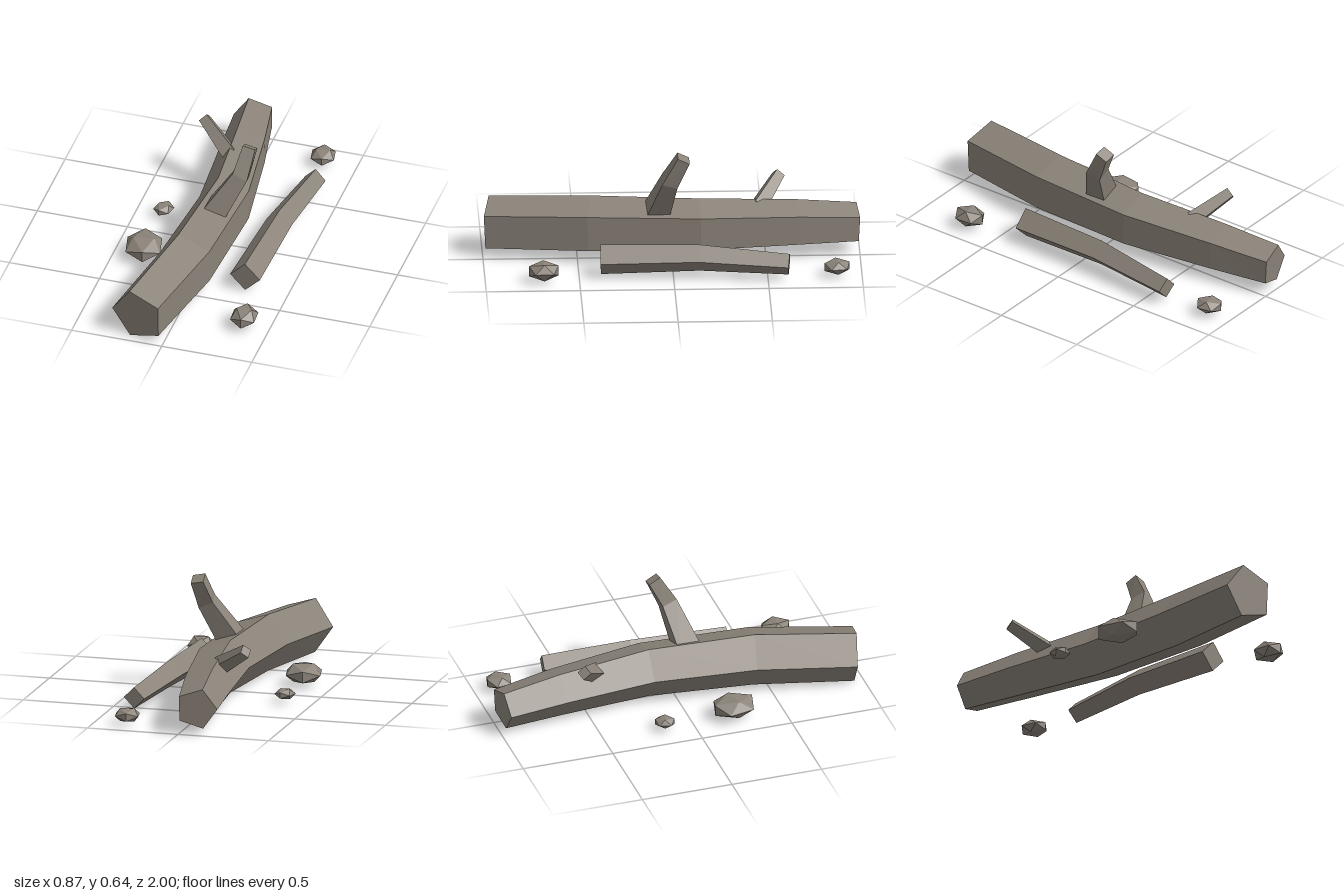
import * as THREE from 'three';

const wood = new THREE.MeshStandardMaterial({ color: 0x8b8379, flatShading: true });
wood.name = 'weathered grey';

// Tapered, faceted limb: rings of [x, y, z, radius] swept along a path.
// ref is the direction from which the section's first corner is measured.
function limb(name, rings, sides, ref, phase) {
  const centres = rings.map(r => new THREE.Vector3(r[0], r[1], r[2]));
  const last = rings.length - 1;
  const pos = [], index = [];
  centres.forEach((c, i) => {
    const t = centres[Math.min(i + 1, last)].clone()
      .sub(centres[Math.max(i - 1, 0)]).normalize();
    const u = new THREE.Vector3(...ref);
    u.addScaledVector(t, -u.dot(t)).normalize();
    const v = t.clone().cross(u);
    for (let j = 0; j < sides; j++) {
      const a = phase + (j / sides) * Math.PI * 2;
      const p = c.clone()
        .addScaledVector(u, Math.cos(a) * rings[i][3])
        .addScaledVector(v, Math.sin(a) * rings[i][3]);
      pos.push(p.x, p.y, p.z);
    }
  });
  // Side faces
  for (let i = 0; i < last; i++) {
    for (let j = 0; j < sides; j++) {
      const k = (j + 1) % sides;
      const a = i * sides + j, b = i * sides + k;
      index.push(a, b, b + sides, a, b + sides, a + sides);
    }
  }
  // End caps
  const e = last * sides;
  for (let j = 1; j < sides - 1; j++) {
    index.push(0, j + 1, j, e, e + j, e + j + 1);
  }
  const indexed = new THREE.BufferGeometry();
  indexed.setAttribute('position', new THREE.Float32BufferAttribute(pos, 3));
  indexed.setIndex(index);
  const geo = indexed.toNonIndexed();
  geo.computeVertexNormals();
  const mesh = new THREE.Mesh(geo, wood);
  mesh.name = name;
  return mesh;
}

// Flattened faceted stone
function stone(name, [x, y, z], [sx, sy, sz], turn) {
  const mesh = new THREE.Mesh(new THREE.IcosahedronGeometry(1, 0), wood);
  mesh.name = name;
  mesh.position.set(x, y, z);
  mesh.scale.set(sx, sy, sz);
  mesh.rotation.y = turn;
  return mesh;
}

export function createModel() {
  const model = new THREE.Group();
  model.name = 'driftwood';

  // Five-sided main log, back to front
  model.add(limb('mainLog', [
    [-0.097, 0.143, -0.985, 0.113],
    [-0.052, 0.16, -0.66, 0.132],
    [0.005, 0.172, -0.15, 0.15],
    [-0.035, 0.17, 0.43, 0.161],
    [-0.144, 0.146, 0.966, 0.153],
  ], 5, [1, 0, 0], Math.PI));

  // Bent upright branch
  model.add(limb('tallBranch', [
    [0.0, 0.24, 0.085, 0.09],
    [0.135, 0.477, 0.015, 0.06],
    [0.163, 0.617, -0.058, 0.049],
  ], 4, [0, 0, 1], Math.PI / 4));

  // Short broken stub
  model.add(limb('shortStub', [
    [-0.07, 0.25, -0.46, 0.053],
    [-0.252, 0.371, -0.577, 0.037],
  ], 4, [0.035, 0, -0.065], 0));

  // Slim fallen limb beside the log
  model.add(limb('fallenLimb', [
    [0.355, 0.083, -0.612, 0.058],
    [0.3, 0.106, -0.14, 0.073],
    [0.272, 0.094, 0.385, 0.084],
  ], 4, [1, 0, 0], 0));

  // Scattered stones
  model.add(
    stone('leftFrontStone', [0.362, 0.065, 0.69], [0.077, 0.053, 0.093], 0.06),
    stone('leftBackStone', [0.318, 0.055, -0.867], [0.073, 0.041, 0.08], 0.18),
    stone('rightFrontStone', [-0.338, 0.069, 0.228], [0.108, 0.058, 0.133], 0.22),
    stone('rightBackStone', [-0.347, 0.047, -0.159], [0.055, 0.031, 0.061], -0.25),
  );
  return model;
}
